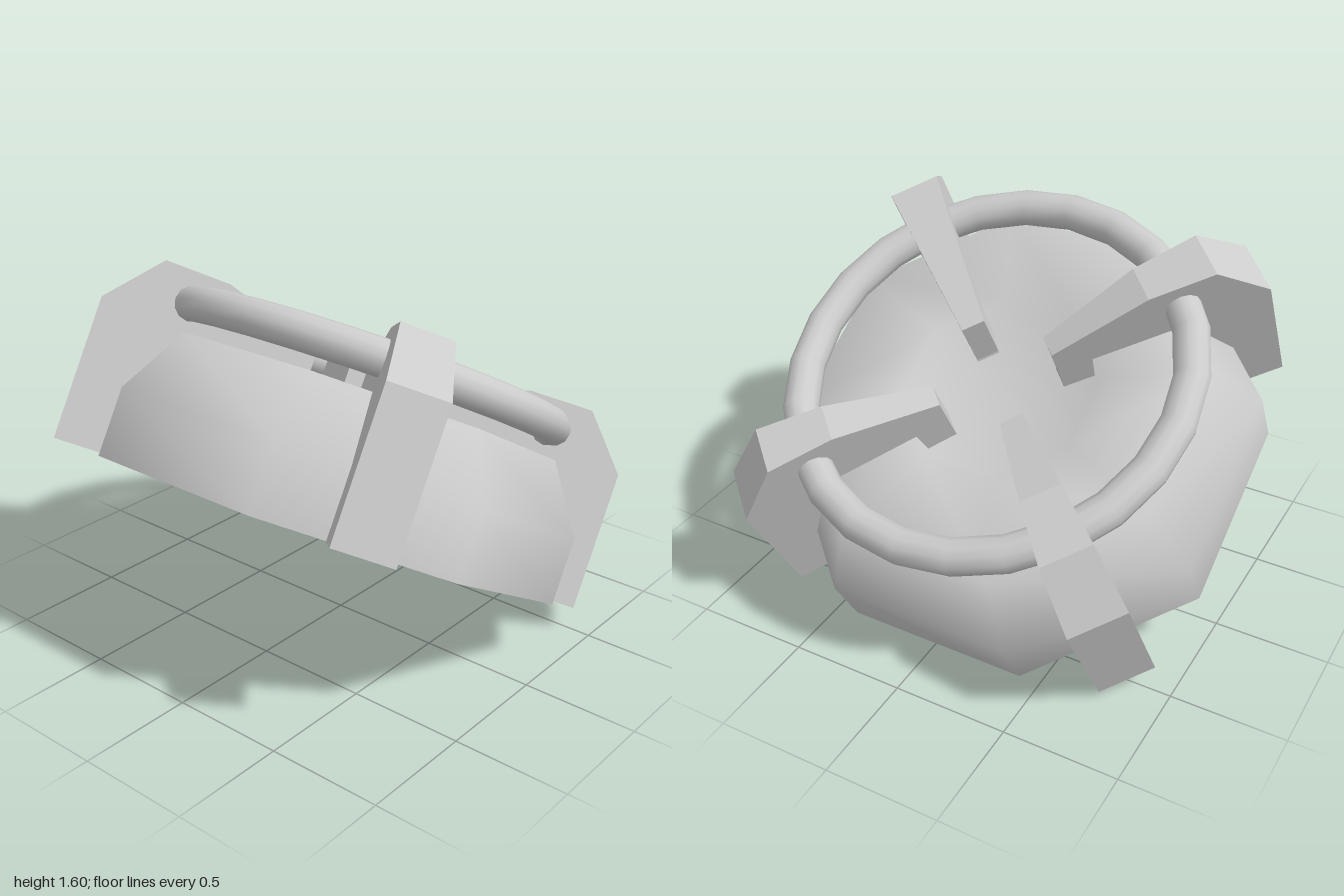
import * as THREE from 'three';

const material = new THREE.MeshStandardMaterial({ color: 0xcccccc });
const shellMaterial = new THREE.MeshStandardMaterial({ color: 0xcccccc, side: THREE.DoubleSide });
const toVectors = (pairs) => pairs.map(([x, y]) => new THREE.Vector2(x, y));
const CORNER = 1 / Math.cos(Math.PI / 8); // octagon apothem to corner radius

function addMesh(parent, name, geometry, mat = material) {
  const mesh = new THREE.Mesh(geometry, mat);
  mesh.name = name;
  parent.add(mesh);
  return mesh;
}

// Wedge-shaped arm: side profile (radius, height), narrowing towards the centre
function armGeometry() {
  const profile = toVectors([
    [0.155, -0.005], [1.177, -0.005], [1.177, 0.61], [0.976, 0.84], [0.69, 0.836],
    [0.25, 0.7], [0.25, 0.46], [0.21, 0.32], [0.155, 0.32],
  ]);
  const geometry = new THREE.ExtrudeGeometry(new THREE.Shape(profile), { depth: 2, bevelEnabled: false });
  geometry.translate(0, 0, -1);
  const p = geometry.attributes.position;
  for (let i = 0; i < p.count; i++) {
    p.setZ(i, p.getZ(i) * (0.03 + 0.081 * p.getX(i)));
  }
  geometry.computeVertexNormals();
  return geometry;
}

export function createModel() {
  const model = new THREE.Group();
  model.name = 'tiltedHandwheelCap';

  // Everything sits on a base plane tilted 30 degrees
  const tilted = new THREE.Group();
  tilted.name = 'tiltedAssembly';
  tilted.rotation.x = -Math.PI / 6;
  tilted.position.set(0, 0.49, 0.152);
  model.add(tilted);

  // Octagonal shell, open below, with a shallow recess on top
  const shell = toVectors([
    [0.98, 0], [0.98, 0.285], [0.815, 0.573], [0.4, 0.573], [0.385, 0.45], [0, 0.45],
  ]);
  shell.forEach((v) => { v.x *= CORNER; });
  addMesh(tilted, 'shell', new THREE.LatheGeometry(shell, 8, Math.PI / 8), shellMaterial);

  // Tapered hub under the recess
  const hub = new THREE.CylinderGeometry(0.38 * CORNER, 0.2 * CORNER, 0.155, 8, 1, false, Math.PI / 8);
  addMesh(tilted, 'hub', hub).position.y = 0.37;

  // Four diagonal arms
  const arm = armGeometry();
  for (let i = 0; i < 4; i++) {
    addMesh(tilted, 'arm', arm).rotation.y = Math.PI / 4 + (i * Math.PI) / 2;
  }

  // Ring handle threaded through the arms
  const ring = new THREE.TorusGeometry(0.828, 0.076, 12, 24);
  ring.rotateX(Math.PI / 2);
  addMesh(tilted, 'ringHandle', ring).position.y = 0.705;

  return model;
}
